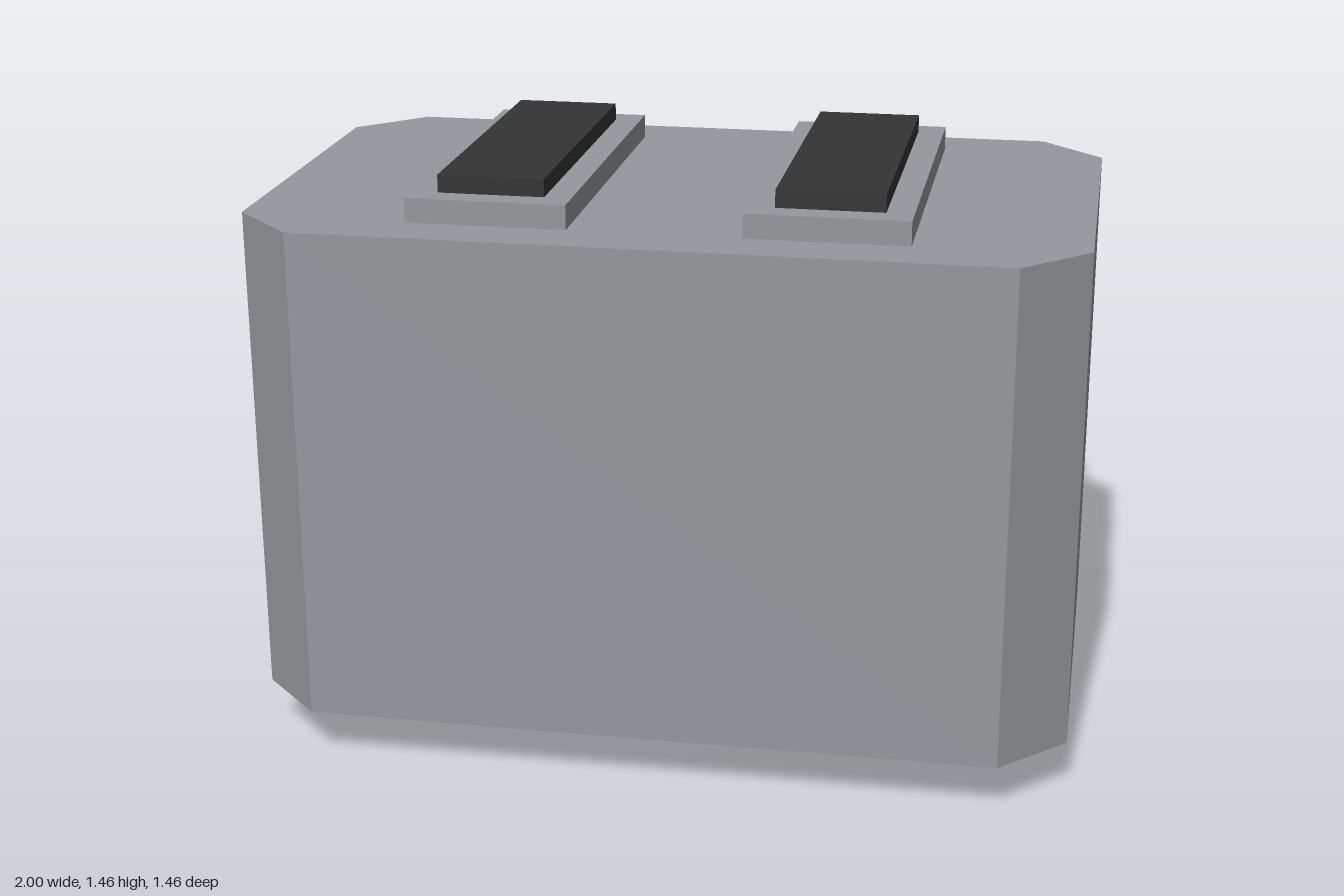
import * as THREE from 'three';

export function createModel() {
  const model = new THREE.Group();
  model.name = 'toaster';

  const casing = new THREE.MeshStandardMaterial({ color: 0x94989c, flatShading: true });
  casing.name = 'casing grey';
  const trim = new THREE.MeshStandardMaterial({ color: 0x343434, flatShading: true });
  trim.name = 'dark trim';

  function add(name, geometry, material, x = 0, y = 0, z = 0) {
    const mesh = new THREE.Mesh(geometry, material);
    mesh.name = name;
    mesh.position.set(x, y, z);
    model.add(mesh);
    return mesh;
  }

  // Box given by its extents on each axis
  function addBox(name, material, [x0, x1], [y0, y1], [z0, z1]) {
    return add(name, new THREE.BoxGeometry(x1 - x0, y1 - y0, z1 - z0), material,
      (x0 + x1) / 2, (y0 + y1) / 2, (z0 + z1) / 2);
  }

  // Hexagonal prism or frustum with corners on the x axis
  function hexagon(topRadius, bottomRadius, height) {
    return new THREE.CylinderGeometry(topRadius, bottomRadius, height, 6).rotateY(Math.PI / 2);
  }

  // Body: block with chamfered vertical corners
  const w = 1, d = 0.604, c = 0.157;
  const outline = new THREE.Shape([
    [w - c, -d], [w, c - d], [w, d - c], [w - c, d],
    [c - w, d], [-w, d - c], [-w, c - d], [c - w, -d],
  ].map(([x, y]) => new THREE.Vector2(x, y)));
  const bodyGeometry = new THREE.ExtrudeGeometry(outline, { depth: 1.227, bevelEnabled: false });
  add('body', bodyGeometry.rotateX(-Math.PI / 2), casing, 0, 0.131, 0.128);

  for (const side of [-1, 1]) {
    const label = side > 0 ? 'left' : 'right';
    // Raised frame and slot on top
    const x = side * 0.4;
    addBox(label + 'SlotFrame', casing, [x - 0.193, x + 0.193], [1.355, 1.417], [-0.345, 0.6]);
    addBox(label + 'Slot', trim, [x - 0.128, x + 0.128], [1.41, 1.46], [-0.28, 0.537]);
    // Pair of feet
    for (const z of [0.235, 0.023]) {
      add(label + 'Foot', hexagon(0.1, 0.1, 0.132), trim, side * 0.5, 0.066, z);
    }
  }

  // Lever on the back
  addBox('leverTrack', trim, [0.708, 0.88], [0.402, 1.137], [-0.58, -0.456]);
  addBox('leverHandle', trim, [0.677, 0.918], [0.933, 1.147], [-0.732, -0.535]);

  // Crumb tray along the bottom of the back
  addBox('crumbTray', trim, [-0.74, 0.74], [0.144, 0.286], [-0.57, -0.46]);

  // Dial on the back
  add('dialBase', hexagon(0.167, 0.167, 0.115).rotateX(-Math.PI / 2), trim, -0.718, 0.623, -0.5175);
  add('dialKnob', hexagon(0.113, 0.136, 0.13).rotateX(-Math.PI / 2), trim, -0.718, 0.623, -0.64);

  return model;
}
